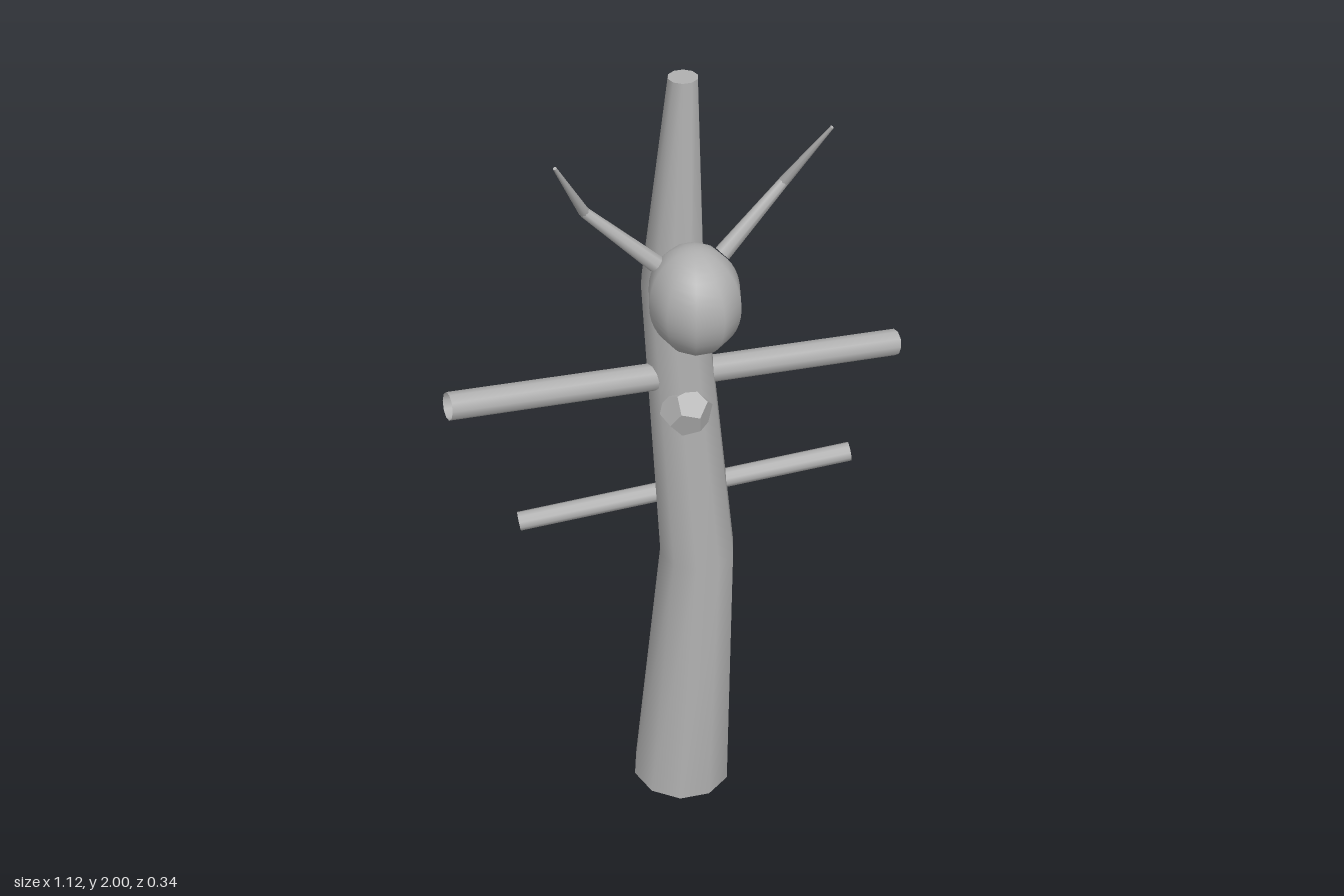
import * as THREE from 'three';
import { mergeVertices } from 'three/addons/utils/BufferGeometryUtils.js';

const V = (x, y, z) => new THREE.Vector3(x, y, z);

// Straight or bent tapered tube through rings given as [x, y, z, radius]
function limb(rings, sides, tilt = 0) {
  const n = rings.length - 1;
  const geo = new THREE.CylinderGeometry(1, 1, 1, sides, n, true, Math.PI / 10);
  const pos = geo.attributes.position;
  for (let i = 0; i < pos.count; i++) {
    const [x, y, z, r] = rings[Math.round((pos.getY(i) + 0.5) * n)];
    const px = pos.getX(i) * r;
    // only the lowest ring leans
    const lean = y < 0.1 ? -px * tilt : 0;
    pos.setXYZ(i, x + px, y + lean, z + pos.getZ(i) * r);
  }
  geo.deleteAttribute('uv');
  geo.deleteAttribute('normal');
  const merged = mergeVertices(geo);
  merged.computeVertexNormals();
  return merged;
}

export function createModel() {
  const model = new THREE.Group();
  model.name = 'branchedFigure';
  const grey = new THREE.MeshStandardMaterial({ color: 0xb0b0b0, side: THREE.DoubleSide });
  grey.name = 'grey';

  const add = (name, geo) => {
    const mesh = new THREE.Mesh(geo, grey);
    mesh.name = name;
    model.add(mesh);
    return mesh;
  };

  // Cylinder between two points
  const rod = (name, a, b, ra, rb, sides, open) => {
    const dir = b.clone().sub(a);
    const mesh = add(name, new THREE.CylinderGeometry(rb, ra, dir.length(), sides, 1, open));
    mesh.position.copy(a).add(b).multiplyScalar(0.5);
    mesh.quaternion.setFromUnitVectors(V(0, 1, 0), dir.normalize());
    return mesh;
  };

  // Bent trunk, hollow at the foot and closed at the top
  add('trunk', limb([
    [0, 0.007, -0.05, 0.126],
    [0.035, 0.75, -0.03, 0.092],
    [-0.015, 1.5, -0.06, 0.073],
    [0.008, 2, -0.054, 0.033],
  ], 10, 0.05));
  const cap = add('trunkTop', new THREE.CircleGeometry(0.033, 10));
  cap.rotation.x = -Math.PI / 2;
  cap.position.set(0.008, 2, -0.054);

  // Branches passing through the trunk, open at the ends
  rod('upperBranch', V(-0.555, 1.327, 0.027), V(0.555, 1.187, -0.117), 0.032, 0.032, 10, true);
  rod('lowerBranch', V(-0.382, 0.86, -0.115), V(0.408, 0.975, -0.003), 0.023, 0.023, 10, true);

  // Head
  const head = add('head', new THREE.SphereGeometry(1, 10, 20));
  head.scale.set(0.104, 0.126, 0.121);
  head.position.set(0, 1.521, 0.06);

  // Faceted knot on the chest
  const knot = add('chestKnot', new THREE.DodecahedronGeometry(0.062));
  knot.position.set(-0.005, 1.195, 0.012);
  knot.rotation.set(0.2, 0.3, 0.1);

  // Antlers, two tapering pieces each
  for (const [side, s] of [['left', 1], ['right', -1]]) {
    const base = V(s * 0.075, 1.6, 0.02);
    const bend = V(s * 0.224, 1.737, -0.012);
    const tip = V(s * 0.302, 1.895, 0.062);
    rod(side + 'AntlerBase', base, bend, 0.02, 0.012, 8, false);
    rod(side + 'AntlerTip', bend, tip, 0.012, 0.004, 8, false);
  }
  return model;
}
